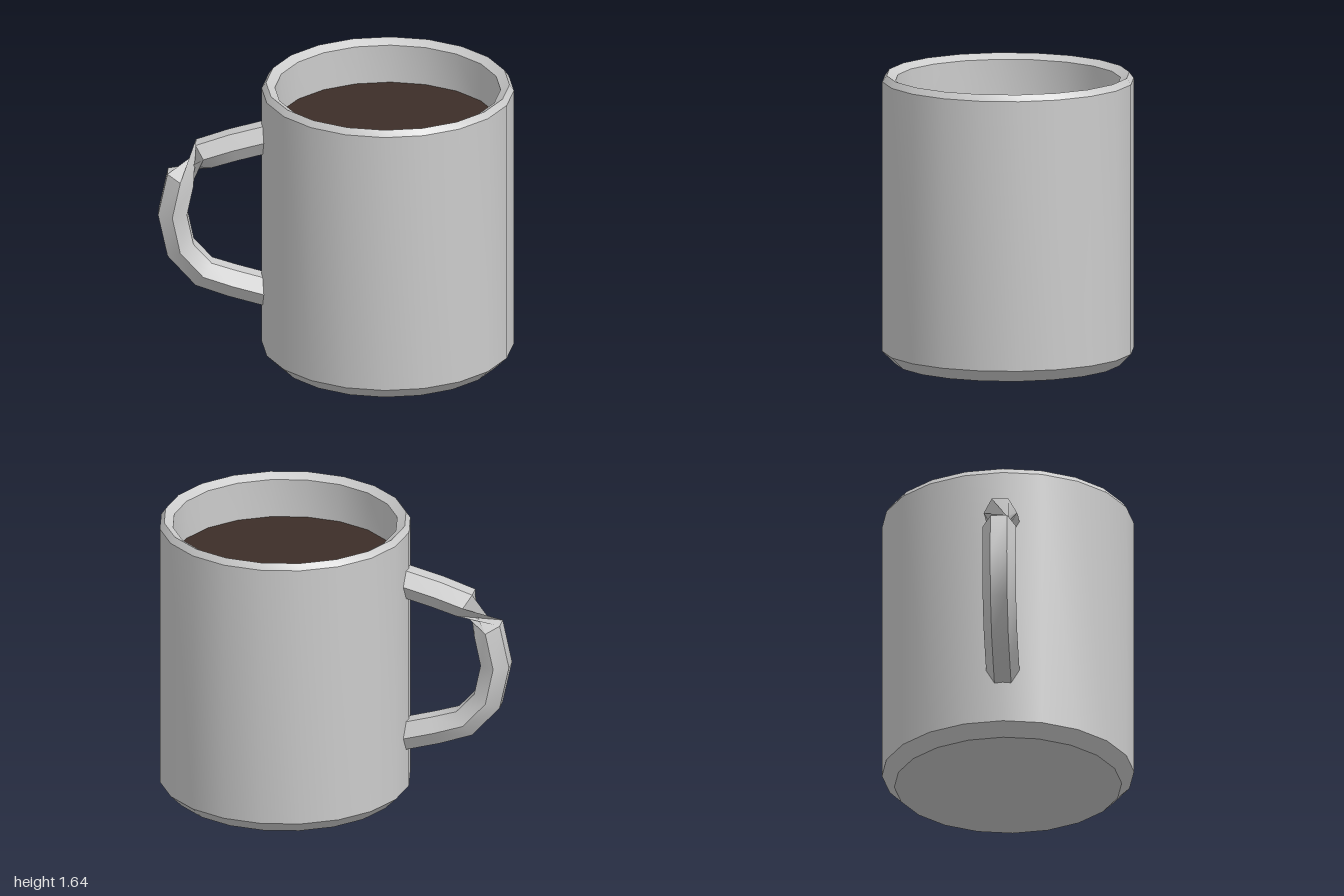
import * as THREE from 'three';
import { toCreasedNormals } from 'three/addons/utils/BufferGeometryUtils.js';

const SIDES = 20;
const CENTER_X = 0.29;

// Tube with six sides along a path in the xy plane; the ring order turns half
// way round after ring `twistAt`, which pinches the tube there.
function hexTube(path, radius, twistAt) {
  const positions = [], index = [];
  path.forEach((p, j) => {
    const before = path[Math.max(j - 1, 0)];
    const after = path[Math.min(j + 1, path.length - 1)];
    const t = after.clone().sub(before).normalize();
    for (let k = 0; k < 6; k++) {
      const a = Math.PI / 6 + (k * Math.PI) / 3 + (j > twistAt ? Math.PI : 0);
      const n = radius * Math.cos(a);
      positions.push(p.x + t.y * n, p.y - t.x * n, radius * Math.sin(a));
    }
  });
  for (let j = 0; j < path.length - 1; j++) {
    for (let k = 0; k < 6; k++) {
      const a = j * 6 + k, b = j * 6 + ((k + 1) % 6);
      index.push(a, a + 6, b, b, a + 6, b + 6);
    }
  }
  const g = new THREE.BufferGeometry();
  g.setAttribute('position', new THREE.Float32BufferAttribute(positions, 3));
  g.setIndex(index);
  return toCreasedNormals(g, 0.65);
}

export function createModel() {
  const mug = new THREE.Group();
  mug.name = 'mug';
  const ceramic = new THREE.MeshStandardMaterial({ color: 0xcccccc, side: THREE.DoubleSide });
  const coffee = new THREE.MeshStandardMaterial({ color: 0x3d2e28 });

  const add = (name, geometry, material) => {
    const mesh = new THREE.Mesh(geometry, material);
    mesh.name = name;
    mug.add(mesh);
    return mesh;
  };

  // Body: base, chamfered foot, wall, pointed rim and inner wall
  const profile = [
    [0, 0], [0.64, 0], [0.71, 0.07], [0.71, 1.61],
    [0.685, 1.645], [0.635, 1.615], [0.635, 1.37],
  ].map(([r, y]) => new THREE.Vector2(r, y));
  const body = add('body', toCreasedNormals(new THREE.LatheGeometry(profile, SIDES), 0.5), ceramic);
  body.position.x = CENTER_X;

  // Drink surface
  const drink = add('drink', new THREE.CircleGeometry(0.635, SIDES), coffee);
  drink.rotation.x = -Math.PI / 2;
  drink.position.set(CENTER_X, 1.39, 0);

  // Handle: upper half mirrored about its middle height
  const midY = 0.85;
  const upper = [[-0.39, 1.315], [-0.58, 1.263], [-0.745, 1.208], [-0.875, 1.063]];
  const lower = upper.map(([x, y]) => [x, 2 * midY - y]).reverse();
  const path = [...upper, [-0.92, midY], ...lower].map(([x, y]) => new THREE.Vector2(x, y));
  add('handle', hexTube(path, 0.094, 2), ceramic);

  return mug;
}
